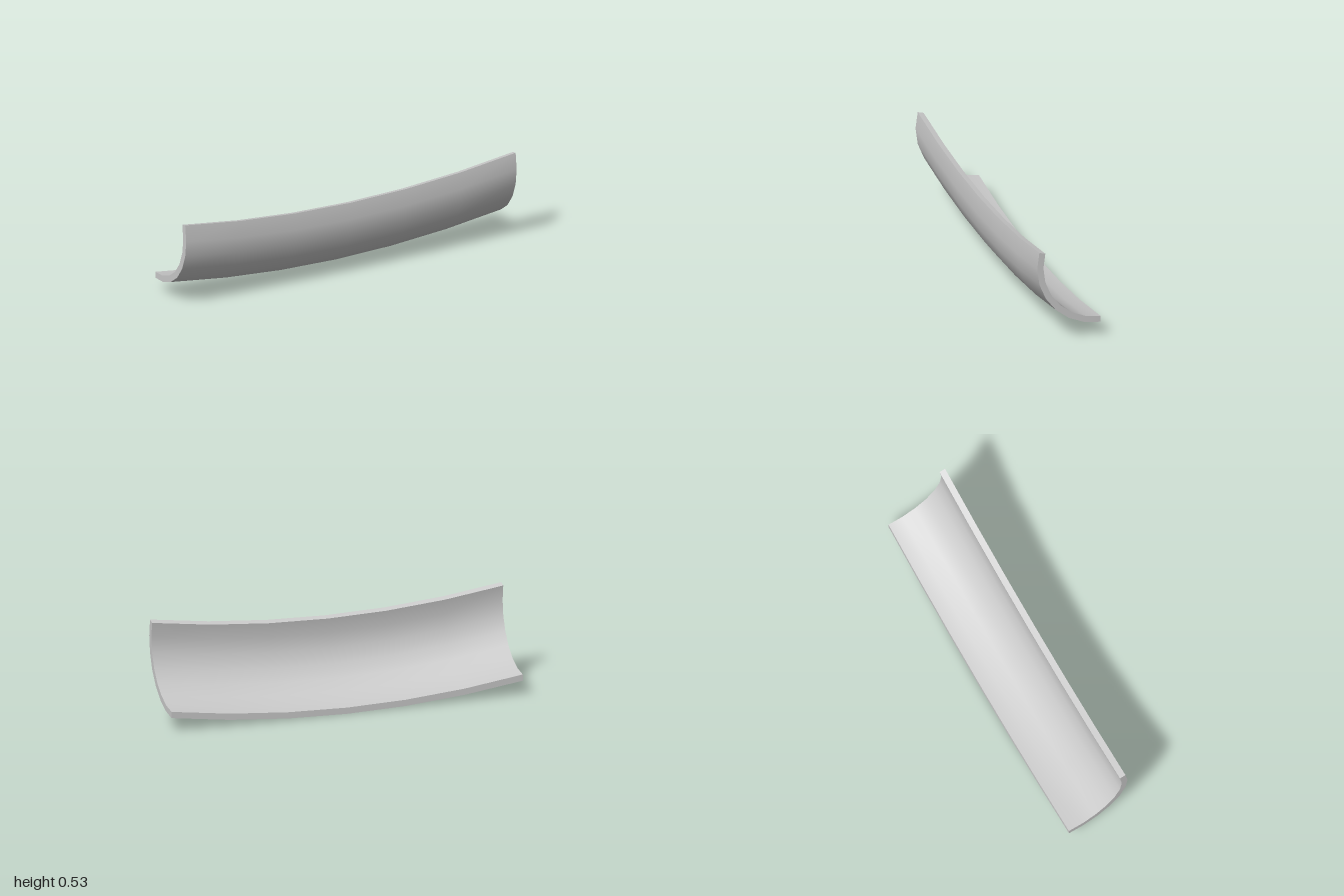
import * as THREE from 'three';
import { toCreasedNormals } from 'three/addons/utils/BufferGeometryUtils.js';

const OUTER = 0.359, THICKNESS = 0.035, SAG = 0.081;
const STEPS = 7, SPANS = 6;

// Points of a circular arc from 15 degrees above level down to straight below.
function arc(radius) {
  return Array.from({ length: STEPS + 1 }, (_, i) => {
    const a = THREE.MathUtils.degToRad(15 - 15 * i);
    return new THREE.Vector2(-0.1795 + radius * Math.cos(a), SAG + OUTER + radius * Math.sin(a));
  });
}

export function createModel() {
  const group = new THREE.Group();
  group.name = 'curvedTrough';

  // Cross-section: outer arc down, inner arc back up
  const section = new THREE.Shape([...arc(OUTER), ...arc(OUTER - THICKNESS).reverse()]);

  // Sweep along x
  const geometry = new THREE.ExtrudeGeometry(section, { depth: 2, steps: SPANS, bevelEnabled: false });
  geometry.rotateY(-Math.PI / 2).translate(1, 0, 0);

  // Sag the middle, keeping both ends upright
  const p = geometry.attributes.position;
  for (let i = 0; i < p.count; i++) {
    p.setY(i, p.getY(i) - SAG * (1 - p.getX(i) ** 2));
  }

  const shell = new THREE.Mesh(
    toCreasedNormals(geometry, 0.7),
    new THREE.MeshStandardMaterial({ color: 0xcccccc })
  );
  shell.name = 'curvedShell';
  group.add(shell);
  return group;
}
